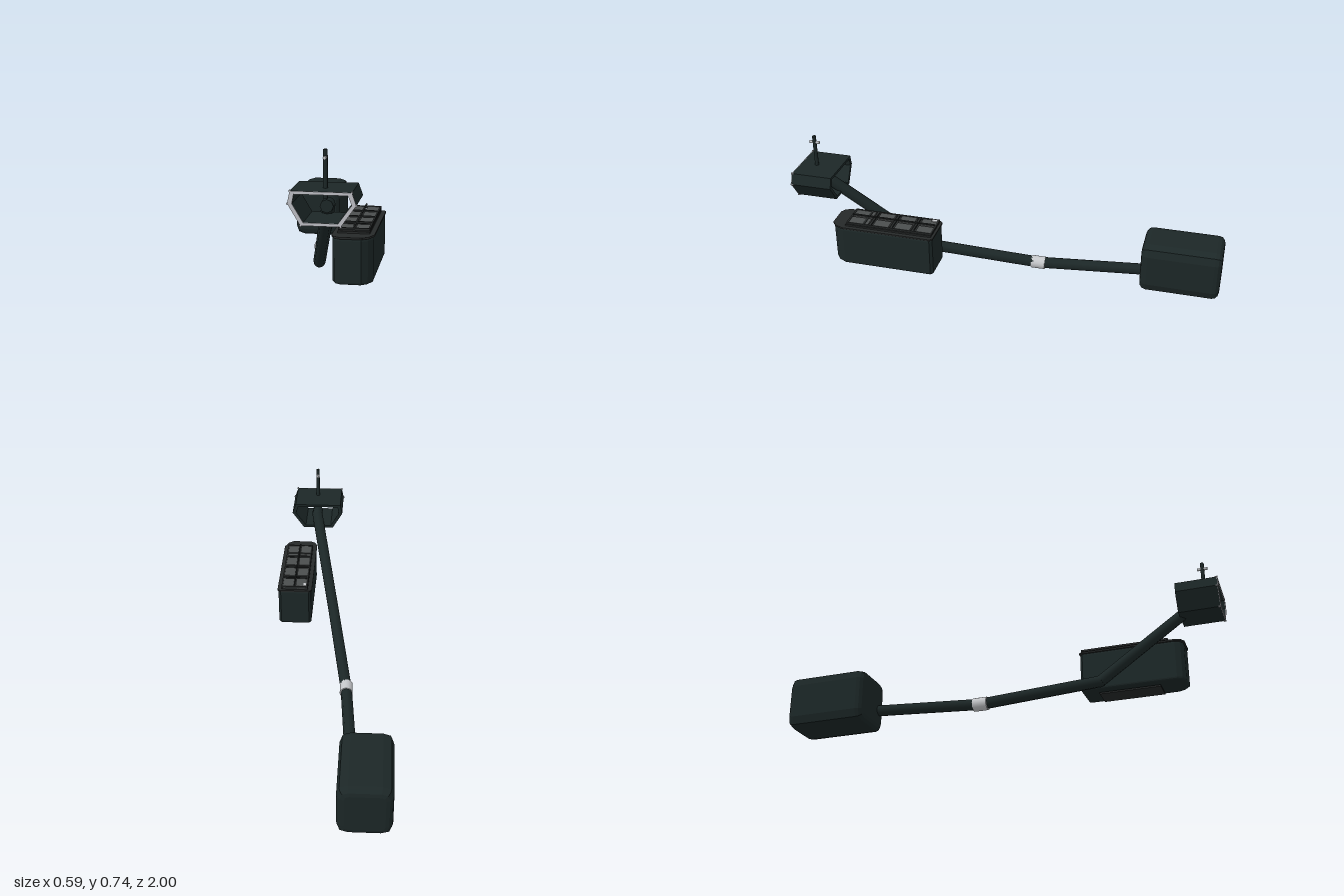
import * as THREE from 'three';

const mat = (name, color) => {
  const m = new THREE.MeshStandardMaterial({ color });
  m.name = name;
  return m;
};

export function createModel() {
  const root = new THREE.Group();
  const body = mat('dark green black', 0x1c2727);
  const trim = mat('dark trim', 0x262929);
  const pane = mat('panel grey', 0x4b4e4e);
  const rim = mat('rim grey', 0xbfc0c6);
  const steel = mat('light steel', 0xc6c8cb);

  const add = (name, geo, m, x = 0, y = 0, z = 0) => {
    const mesh = new THREE.Mesh(geo, m);
    mesh.name = name;
    mesh.position.set(x, y, z);
    root.add(mesh);
    return mesh;
  };
  const box = (name, m, w, h, d, x, y, z) => add(name, new THREE.BoxGeometry(w, h, d), m, x, y, z);
  const polygon = pts => new THREE.Shape(pts.map(p => new THREE.Vector2(...p)));
  const extrude = (shape, depth, bevel = 0) => new THREE.ExtrudeGeometry(shape, {
    depth: depth - 2 * bevel, bevelEnabled: bevel > 0, bevelSize: bevel,
    bevelThickness: bevel, bevelOffset: -bevel, bevelSegments: 3, curveSegments: 2,
  }).translate(0, 0, bevel);

  // rear tank: rounded rectangle with softened ends
  const tank = new THREE.Shape();
  const [l, r, b, t, c] = [-0.297, -0.06, 0, 0.25, 0.048];
  tank.moveTo(l + c, b).lineTo(r - c, b).quadraticCurveTo(r, b, r, b + c);
  tank.lineTo(r, t - c).quadraticCurveTo(r, t, r - c, t);
  tank.lineTo(l + c, t).quadraticCurveTo(l, t, l, t - c);
  tank.lineTo(l, b + c).quadraticCurveTo(l, b, l + c, b);
  add('rearTank', extrude(tank, 0.383, 0.032), body, 0, 0, -1);

  // eight-sided pipe with angled joints
  const path = [[-0.11, 0.102, -0.64], [-0.07, 0.083, -0.12], [0.015, 0.155, 0.43],
    [0.125, 0.512, 0.85], [0.125, 0.512, 0.9]].map(p => new THREE.Vector3(...p));
  const rod = (name, a, d, radius, m, sides = 8) => {
    const dir = d.clone().sub(a);
    const mesh = add(name, new THREE.CylinderGeometry(radius, radius, dir.length(), sides), m);
    mesh.position.copy(a).add(d).multiplyScalar(0.5);
    mesh.quaternion.setFromUnitVectors(new THREE.Vector3(0, 1, 0), dir.normalize());
  };
  for (let i = 0; i < path.length - 1; i++) {
    rod('pipeSection', path[i], path[i + 1], 0.027, body);
    if (i) add('pipeJoint', new THREE.SphereGeometry(0.026, 10, 8), body, ...path[i].toArray());
  }
  // clamp around the middle joint
  rod('pipeClamp', new THREE.Vector3(-0.071, 0.083, -0.152), new THREE.Vector3(-0.069, 0.084, -0.085), 0.031, steel, 16);

  // side case: plan outline with cut corners, extruded upwards
  const plan = g => polygon([
    [0.138 - g, -0.307 + g], [0.126 - g, -0.319 + g], [0.126 - g, -0.762], [0.137 - g, -0.786 - g],
    [0.16 - g, -0.80 - g], [0.247 + g, -0.80 - g], [0.272 + g, -0.78 - g], [0.29 + g, -0.745],
    [0.29 + g, -0.319 + g], [0.278 + g, -0.307 + g]]);
  const upright = (name, g, y0, y1, bevel, m) =>
    add(name, extrude(plan(g), y1 - y0, bevel).rotateX(-Math.PI / 2), m, 0, y0, 0);
  upright('sideCase', 0, 0.167, 0.36, 0.011, body);
  upright('caseLid', 0.004, 0.358, 0.366, 0, trim);
  box('caseBasePlate', trim, 0.104, 0.008, 0.29, 0.209, 0.158, 0.535);

  // grille on the lid: backing plate, panels, frame, cross bars and ridge rod
  box('grillePlate', trim, 0.132, 0.008, 0.42, 0.208, 0.37, 0.525);
  for (const [z0, z1] of [[0.315, 0.39], [0.42, 0.495], [0.525, 0.6], [0.625, 0.72]]) {
    for (const x of [0.176, 0.24]) box('grillePanel', pane, 0.054, 0.011, z1 - z0, x, 0.379, (z0 + z1) / 2);
  }
  for (const z of [0.405, 0.51, 0.613, 0.645]) box('grilleBar', trim, 0.128, 0.007, 0.01, 0.208, 0.384, z);
  for (const z of [0.314, 0.724]) box('grilleEnd', trim, 0.13, 0.009, 0.008, 0.208, 0.3825, z);
  for (const x of [0.147, 0.27]) box('grilleRail', trim, 0.007, 0.009, 0.41, x, 0.3825, 0.52);
  rod('ridgeRod', new THREE.Vector3(0.208, 0.395, 0.315), new THREE.Vector3(0.208, 0.395, 0.72), 0.004, trim);
  box('grilleLatch', steel, 0.014, 0.003, 0.025, 0.158, 0.386, 0.332);

  // open six-sided hood with a pale front rim
  const outer = [[-0.01, 0.54], [0.04, 0.456], [0.195, 0.456], [0.254, 0.54], [0.237, 0.589], [0, 0.589]];
  const inner = [[0.008, 0.54], [0.051, 0.468], [0.184, 0.468], [0.236, 0.54], [0.223, 0.577], [0.015, 0.577]];
  const ring = polygon(outer);
  ring.holes.push(polygon(inner));
  add('hood', extrude(ring, 0.193), body, 0, 0, 0.803);
  add('hoodRim', extrude(ring, 0.003), rim, 0, 0, 0.996);
  for (const [x, y] of outer) {
    const rivet = add('rimRivet', new THREE.CylinderGeometry(0.004, 0.004, 0.012, 8), rim, x, y, 0.994);
    rivet.rotation.x = Math.PI / 2;
  }

  // mast with cross pin
  add('mast', new THREE.CylinderGeometry(0.009, 0.009, 0.192, 10), body, 0.124, 0.643, 0.92);
  rod('mastPin', new THREE.Vector3(0.124, 0.708, 0.896), new THREE.Vector3(0.124, 0.708, 0.944), 0.007, steel);
  return root;
}
